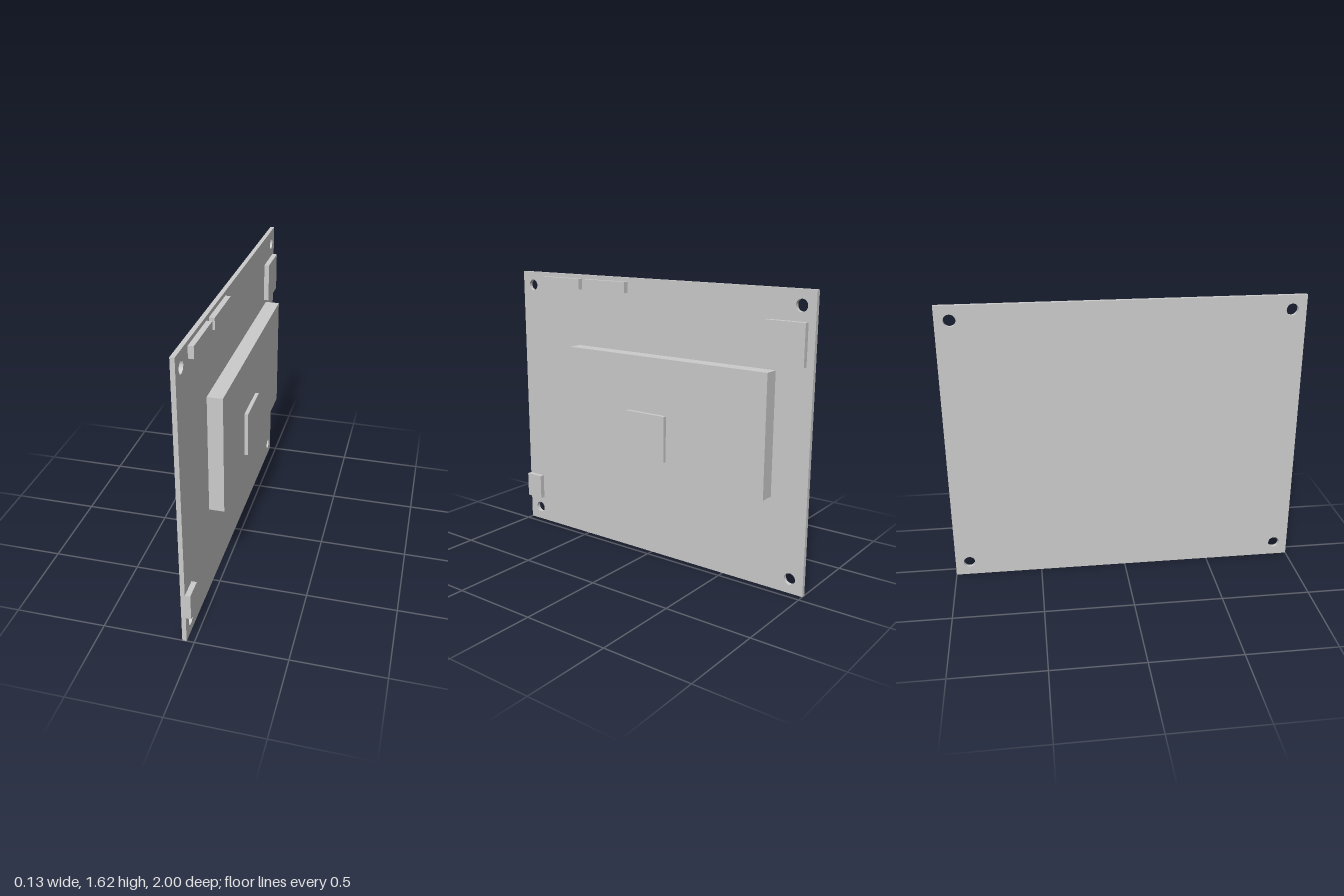
import * as THREE from 'three';

const BACK = -0.065, FACE = -0.041, HEIGHT = 1.62;

export function createModel() {
  const group = new THREE.Group();
  const material = new THREE.MeshStandardMaterial({ color: 0xcccccc });

  const add = (name, geometry) => {
    const mesh = new THREE.Mesh(geometry, material);
    mesh.name = name;
    group.add(mesh);
    return mesh;
  };

  // Box given by its limits on each axis
  const block = (name, [x0, x1], [y0, y1], [z0, z1]) =>
    add(name, new THREE.BoxGeometry(x1 - x0, y1 - y0, z1 - z0))
      .position.set((x0 + x1) / 2, (y0 + y1) / 2, (z0 + z1) / 2);

  // Circuit board with four corner mounting holes, extruded along x
  const outline = new THREE.Shape([
    new THREE.Vector2(-1, 0), new THREE.Vector2(1, 0),
    new THREE.Vector2(1, HEIGHT), new THREE.Vector2(-1, HEIGHT),
  ]);
  for (const u of [-0.92, 0.92]) {
    for (const v of [0.081, HEIGHT - 0.081]) {
      outline.holes.push(new THREE.Path().absarc(u, v, 0.033, 0, Math.PI * 2, true));
    }
  }
  const board = new THREE.ExtrudeGeometry(outline, {
    depth: FACE - BACK, bevelEnabled: false, curveSegments: 24,
  });
  board.rotateY(Math.PI / 2).translate(BACK, 0, 0);
  add('circuitBoard', board);

  // Raised module and the chip on top of it
  block('mainModule', [FACE, 0.043], [0.52, 1.2], [-0.789, 0.545]);
  block('moduleChip', [0.043, 0.065], [0.613, 0.88], [-0.16, 0.105]);

  // Low components on the board face
  const low = [FACE, -0.012];
  block('topConnectorFront', low, [1.534, 1.597], [0.519, 0.819]);
  block('topConnectorRear', low, [1.534, 1.597], [0.176, 0.477]);
  block('cornerChip', low, [1.234, 1.459], [-0.96, -0.733]);
  block('edgeConnector', low, [0.156, 0.306], [0.886, 1]);

  return group;
}
